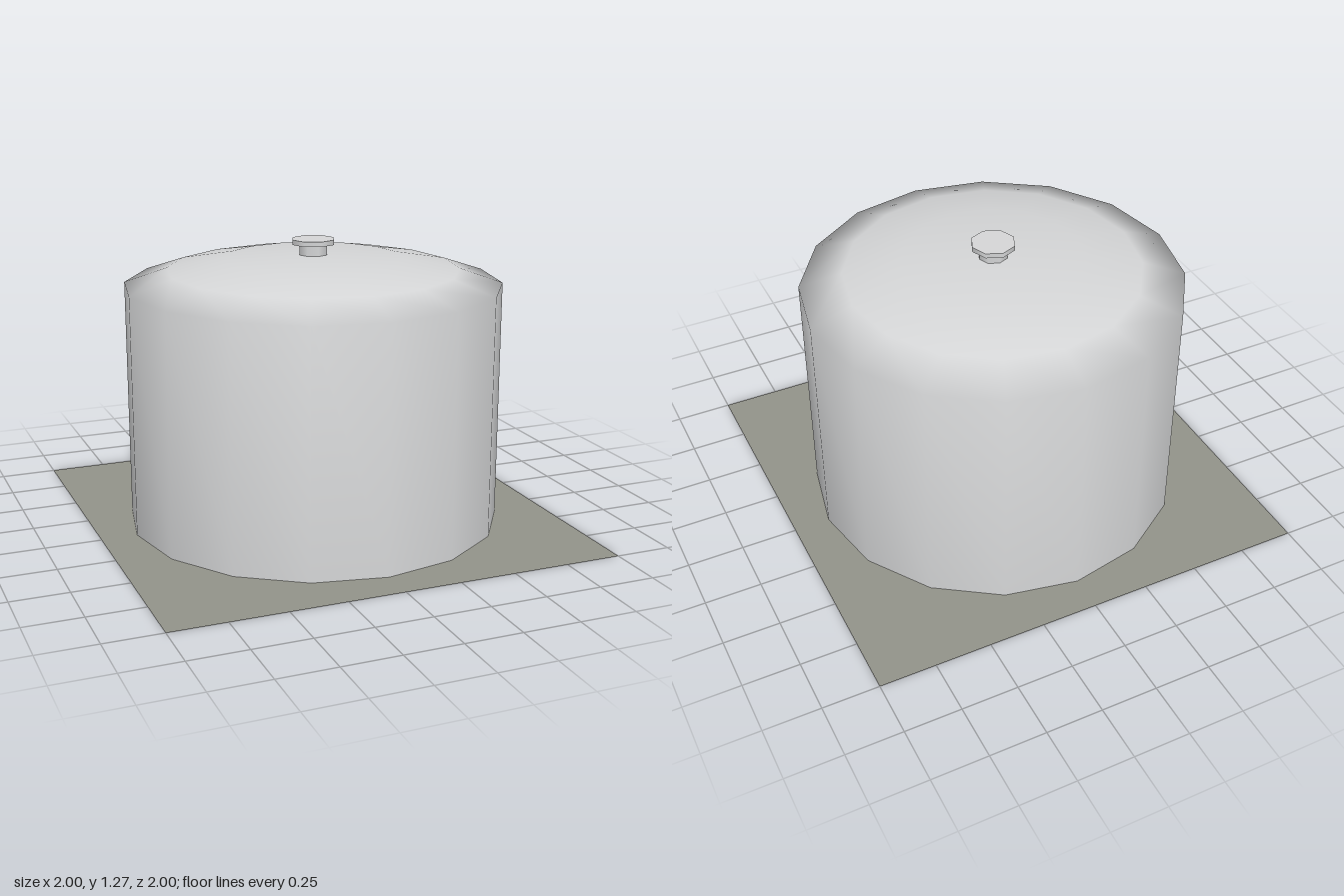
import * as THREE from 'three';
import { mergeVertices } from 'three/addons/utils/BufferGeometryUtils.js';

const SIDES = 16;

// Revolved profile with shared vertices, so wall and roof shade as one smooth skin
function smoothLathe(profile, sides) {
  const points = profile.map(([r, y]) => new THREE.Vector2(r, y));
  const lathe = new THREE.LatheGeometry(points, sides);
  lathe.deleteAttribute('normal');
  lathe.deleteAttribute('uv');
  const geometry = mergeVertices(lathe, 1e-4);
  geometry.computeVertexNormals();
  return geometry;
}

export function createModel() {
  const metal = new THREE.MeshStandardMaterial({ color: 0xd6d7d8 });
  metal.name = 'light grey metal';
  const concrete = new THREE.MeshStandardMaterial({ color: 0x93948a, side: THREE.DoubleSide });
  concrete.name = 'grey concrete';

  const model = new THREE.Group();
  model.name = 'storageTank';
  const add = (name, geometry, material, y = 0) => {
    const mesh = new THREE.Mesh(geometry, material);
    mesh.name = name;
    mesh.position.y = y;
    model.add(mesh);
    return mesh;
  };

  // Flat square ground slab
  add('groundSlab', new THREE.PlaneGeometry(2, 2).rotateX(-Math.PI / 2), concrete);

  // Wall and shallow domed roof
  add('tankShell', smoothLathe([
    [0.84, 0], [0.84, 1.075], [0.65, 1.14], [0.4, 1.187], [0, 1.205],
  ], SIDES), metal);

  // Roof vent: neck and wider cap
  add('ventNeck', new THREE.CylinderGeometry(0.065, 0.065, 0.06, 8), metal, 1.22);
  add('ventCap', new THREE.CylinderGeometry(0.098, 0.098, 0.022, 8), metal, 1.26);

  return model;
}
